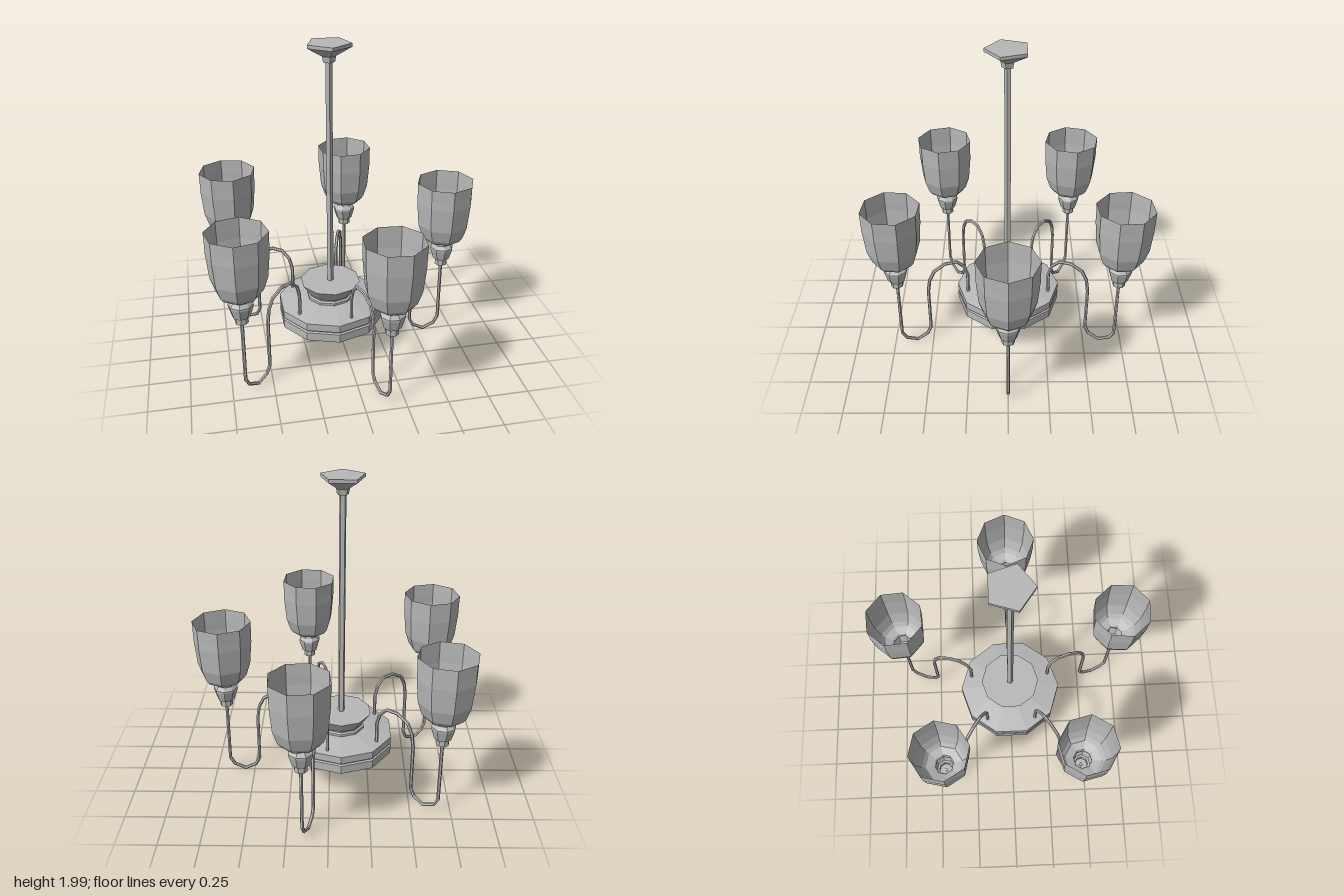
import * as THREE from 'three';

const metal = new THREE.MeshStandardMaterial({ color: 0xb8b8b8, flatShading: true, side: THREE.DoubleSide });
metal.name = 'grey metal';

// Faceted mesh with one normal per face
function facet(name, geometry) {
  const g = geometry.toNonIndexed();
  g.computeVertexNormals();
  const mesh = new THREE.Mesh(g, metal);
  mesh.name = name;
  return mesh;
}

// Turned part from [radius, y] pairs, listed bottom to top
function turned(name, profile, sides) {
  return facet(name, new THREE.LatheGeometry(profile.map(([r, y]) => new THREE.Vector2(r, y)), sides));
}

// Polyline whose samples fall exactly on its corners
class CornerPath extends THREE.Curve {
  constructor(points) {
    super();
    this.points = points;
  }
  getPoint(t) {
    const n = this.points.length - 1;
    const i = Math.min(Math.floor(t * n + 1e-6), n - 1);
    return this.points[i].clone().lerp(this.points[i + 1], t * n - i);
  }
  getPointAt(t) {
    return this.getPoint(t);
  }
  getTangentAt(t) {
    const p = this.points, n = p.length - 1, i = Math.round(t * n);
    const dir = new THREE.Vector3();
    if (i > 0) dir.add(p[i].clone().sub(p[i - 1]).normalize());
    if (i < n) dir.add(p[i + 1].clone().sub(p[i]).normalize());
    return dir.normalize();
  }
}

export function createModel() {
  const model = new THREE.Group();
  model.name = 'chandelier';
  const body = new THREE.Group();
  body.name = 'chandelierBody';
  body.position.x = -0.075;
  model.add(body);

  // Ten-sided hub with a groove and a flared collar
  body.add(turned('hub', [
    [0, 0.215], [0.333, 0.215], [0.333, 0.27], [0.32, 0.275], [0.32, 0.283], [0.333, 0.287],
    [0.333, 0.335], [0.18, 0.362], [0.15, 0.365], [0.15, 0.38], [0.138, 0.387], [0.138, 0.395],
    [0.19, 0.472], [0, 0.472],
  ], 10));

  // Five-sided hanging rod and ceiling plate
  body.add(turned('rod', [[0.021, 0.465], [0.021, 1.9]], 5));
  body.add(turned('ceilingPlate', [
    [0, 1.89], [0.036, 1.89], [0.042, 1.925], [0.134, 1.98], [0.134, 2], [0, 2],
  ], 5));

  // Five arms, each with a socket and an open shade
  const armPath = [
    [0.275, 0.32], [0.275, 0.48], [0.295, 0.55], [0.347, 0.6], [0.422, 0.6], [0.495, 0.558],
    [0.527, 0.495], [0.54, 0.41], [0.54, 0.1], [0.565, 0.05], [0.635, 0.015], [0.708, 0.05],
    [0.735, 0.1], [0.735, 0.52],
  ].map(([x, y]) => new THREE.Vector3(x, y, 0));

  for (let i = 0; i < 5; i++) {
    const arm = new THREE.Group();
    arm.name = 'lampArm' + (i + 1);
    arm.rotation.y = (i * Math.PI * 2) / 5;

    arm.add(facet('curvedTube', new THREE.TubeGeometry(new CornerPath(armPath), armPath.length - 1, 0.011, 6)));

    const socket = turned('socket', [
      [0, 0.512], [0.04, 0.512], [0.04, 0.555], [0.054, 0.557], [0.074, 0.625], [0.074, 0.638],
      [0.055, 0.66], [0.055, 0.672], [0.063, 0.682],
    ], 8);
    const shade = turned('shade', [
      [0.063, 0.682], [0.115, 0.7], [0.137, 0.728], [0.164, 0.81], [0.178, 0.965], [0.178, 1.02], [0.18, 1.097],
    ], 8);
    for (const part of [socket, shade]) {
      part.position.x = 0.735;
      arm.add(part);
    }
    body.add(arm);
  }
  return model;
}
